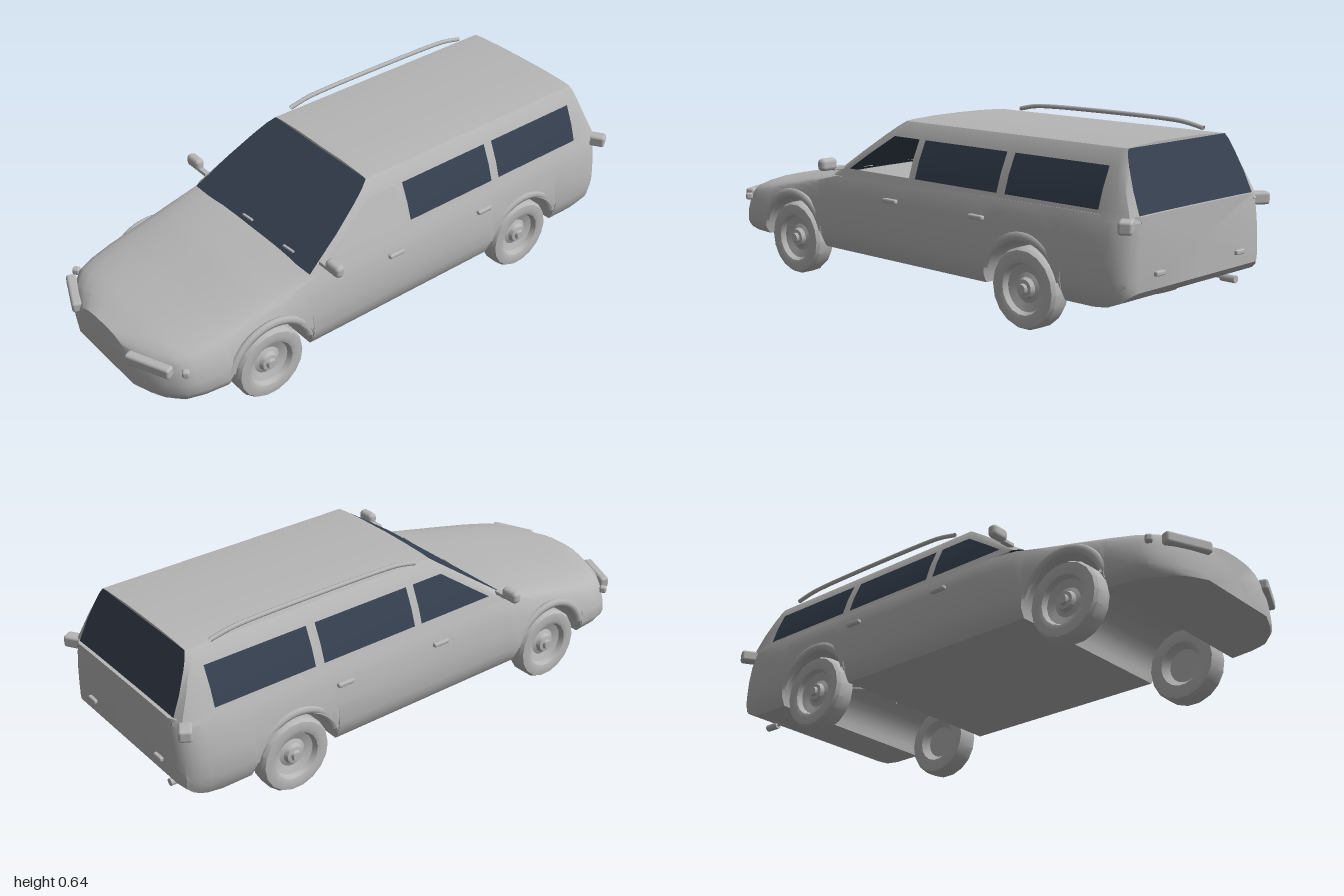
import * as THREE from 'three';
import { toCreasedNormals } from 'three/addons/utils/BufferGeometryUtils.js';
import { RoundedBoxGeometry } from 'three/addons/geometries/RoundedBoxGeometry.js';

const paint = new THREE.MeshStandardMaterial({ color: 0xb6b6b6, side: THREE.DoubleSide });
paint.name = 'grey paint';
const glass = new THREE.MeshStandardMaterial({ color: 0x364050, side: THREE.DoubleSide });
glass.name = 'dark glass';

// Linear lookup in a list of [position, value] pairs with rising positions
function look(table, t) {
  if (t <= table[0][0]) return table[0][1];
  for (let i = 1; i < table.length; i++) {
    const [a, va] = table[i - 1], [b, vb] = table[i];
    if (t <= b) return va + (vb - va) * (t - a) / (b - a);
  }
  return table[table.length - 1][1];
}

// Completes a half ring that starts and ends on x = 0
const mirrorRing = (half) =>
  half.concat(half.slice(1, -1).reverse().map(([x, y, z]) => [-x, y, z]));

// Skins closed rings; keep(row, column, isLeft) chooses the faces, columns count on the half ring
function skin(rings, keep = () => true, crease = 0.6) {
  const m = rings[0].length, index = [];
  for (let i = 0; i < rings.length - 1; i++) {
    for (let j = 0; j < m; j++) {
      const left = j < m / 2;
      if (!keep(i, left ? j : m - 1 - j, left)) continue;
      const a = i * m + j, b = i * m + (j + 1) % m;
      index.push(a, b, b + m, a, b + m, a + m);
    }
  }
  const g = new THREE.BufferGeometry();
  g.setAttribute('position', new THREE.Float32BufferAttribute(rings.flat(2), 3));
  g.setIndex(index);
  return toCreasedNormals(g, crease);
}

// Lower body tables along z
const WHEELS = [-0.57, 0.57], ARCH = 0.168, FLOOR = 0.125;
const widthAt = [[-0.985, 0.31], [-0.97, 0.342], [-0.93, 0.367], [-0.85, 0.378], [0.6, 0.378], [0.74, 0.375],
  [0.82, 0.365], [0.88, 0.345], [0.93, 0.29], [0.955, 0.24], [0.98, 0.17]];
const shoulderAt = [[-0.985, 0.41], [0.2, 0.4], [0.36, 0.385], [0.55, 0.338], [0.72, 0.3], [0.9, 0.262], [0.98, 0.23]];
const crownAt = [[-0.985, 0.412], [0.2, 0.402], [0.38, 0.395], [0.55, 0.372], [0.72, 0.338], [0.9, 0.308], [0.98, 0.288]];
const lipAt = [[-0.985, 0.18], [-0.95, 0.15], [-0.9, 0.13], [-0.85, FLOOR], [0.9, FLOOR], [0.98, 0.14]];
const bulgeAt = [[0, 0.93], [0.1, 0.975], [0.25, 1], [0.5, 0.995], [0.75, 0.965], [0.9, 0.935], [1, 0.905]];

function bodyRing(z) {
  const w = look(widthAt, z), top = look(shoulderAt, z), crown = look(crownAt, z);
  let low = look(lipAt, z);
  for (const c of WHEELS) {
    const d = Math.abs(z - c) / ARCH;
    if (d < 1) low = FLOOR + 0.165 * Math.sqrt(1 - d * d);
  }
  const half = [[0, low, z]];
  for (const t of [0, 0.06, 0.14, 0.25, 0.5, 0.75, 0.9, 1]) {
    const y = low + (top - low) * t;
    half.push([w * look(bulgeAt, (y - FLOOR) / (top - FLOOR)), y, z]);
  }
  const edge = half[half.length - 1][0];
  for (const k of [0.97, 0.9, 0.75, 0.5, 0.25, 0]) {
    half.push([edge * k, top + (crown - top) * Math.pow(1 - k ** 3, 0.6), z]);
  }
  return mirrorRing(half);
}

function lowerBody() {
  const zs = [-0.985, -0.97, -0.95, -0.93, -0.9, -0.85, -0.2, 0, 0.2, 0.3, 0.36, 0.78, 0.82, 0.85, 0.88, 0.905, 0.93, 0.955, 0.98];
  for (const c of WHEELS) {
    for (let i = 0; i <= 16; i++) zs.push(c + ARCH * Math.cos(Math.PI * i / 16));
  }
  const rings = zs.sort((a, b) => a - b).map(bodyRing);
  // Flat caps for nose and tailgate
  const cap = (ring, y) => ring.map((p) => [0, y, p[2]]);
  return skin([cap(rings[0], 0.3), ...rings, cap(rings[rings.length - 1], 0.21)]);
}

// Cabin: one ring per height, then shrinking rings for the roof
const cabinSide = [[0.39, 0.347], [0.42, 0.336], [0.48, 0.316], [0.548, 0.285], [0.58, 0.267], [0.6, 0.25]];
function cabinRing(y, k = 1, lift = 0) {
  const s = look(cabinSide, y) * k, t = (y - 0.39) / 0.21;
  const zf = 0.375 - 0.3 * t, zr = -0.982 + 0.09 * t, inset = 0.05 * (1 - t);
  const half = [[0, zf + 0.008], [s - 0.018 * (1 - t) * k, zf + 0.006], [s, zf - 0.02], [s, zf - 0.045],
    [s, -0.02], [s, -0.05], [s, -0.43], [s, -0.465], [s, -0.85],
    [s, zr + 0.02 + 0.035 * (1 - t)], [s - 0.3 * inset, zr + 0.012], [s - inset, zr], [0, zr]];
  return mirrorRing(half.map(([x, z]) => [x, y + lift, z]));
}
const cabinRings = [...cabinSide.map(([y]) => cabinRing(y)),
  cabinRing(0.6, 0.85, 0.004), cabinRing(0.6, 0.45, 0.008), cabinRing(0.6, 0, 0.009)];
const sideOpening = (i, j) => (i === 1 || i === 2) && [3, 5, 7].includes(j);
const openDoor = (i, j, left) => left && j === 3;
const isGlass = (i, j) => sideOpening(i, j) || (i < 5 && (j === 0 || j === 11));

// Wheel profile from inner to outer side: radius, axial position
const wheelProfile = [[0, -0.015], [0.06, -0.015], [0.08, -0.04], [0.1, -0.043], [0.125, -0.038], [0.133, -0.022],
  [0.133, 0.026], [0.125, 0.039], [0.1, 0.043], [0.085, 0.038], [0.077, 0.02], [0.05, 0.01], [0.036, 0.016],
  [0.03, 0.03], [0.018, 0.032], [0.015, 0.042], [0, 0.042]].map(([r, a]) => new THREE.Vector2(r, a));

const tube = (points, r, n = 20) => new THREE.TubeGeometry(
  new THREE.CatmullRomCurve3(points.map((p) => new THREE.Vector3(...p)), false, 'centripetal'), n, r, 8);

export function createModel() {
  const car = new THREE.Group();
  car.name = 'estateCar';
  const add = (name, geometry, material = paint, [x, y, z] = [0, 0, 0], ry = 0) => {
    const mesh = new THREE.Mesh(geometry, material);
    mesh.name = name;
    mesh.position.set(x, y, z);
    mesh.rotation.y = ry;
    car.add(mesh);
    return mesh;
  };
  // Rounded block on both sides
  const pair = (name, [w, h, d], [x, y, z], ry = 0, r = 0.008) => {
    for (const s of [1, -1]) {
      add((s > 0 ? 'left' : 'right') + name, new RoundedBoxGeometry(w, h, d, 2, r), paint, [s * x, y, z], s * ry);
    }
  };

  add('lowerBody', lowerBody());
  add('cabinFrame', skin(cabinRings, (i, j) => !isGlass(i, j)));
  add('windows', skin(cabinRings, (i, j, left) => isGlass(i, j) && !openDoor(i, j, left)), glass);

  // Wheels and arch lips
  const wheel = toCreasedNormals(new THREE.LatheGeometry(wheelProfile, 18).rotateZ(-Math.PI / 2), 0.6);
  const lip = new THREE.TorusGeometry(0.172, 0.016, 8, 20, Math.PI * 0.8)
    .rotateZ(Math.PI * 0.1).rotateY(Math.PI / 2).scale(0.7, 1, 0.98);
  for (const z of WHEELS) {
    for (const s of [1, -1]) {
      add('wheel', wheel, paint, [s * 0.327, 0.133, z], s > 0 ? 0 : Math.PI);
      add('archLip', lip, paint, [s * 0.366, 0.13, z]);
    }
  }

  // Lamps
  pair('Headlight', [0.17, 0.04, 0.035], [0.232, 0.25, 0.952], 0.4, 0.01);
  pair('Indicator', [0.025, 0.026, 0.026], [0.337, 0.248, 0.882], 0.9);
  pair('TailLight', [0.075, 0.042, 0.045], [0.343, 0.385, -0.963], 0.55, 0.01);

  // Mirrors, door handles and tailgate grips
  pair('Mirror', [0.07, 0.044, 0.036], [0.4, 0.437, 0.333], 0, 0.015);
  pair('MirrorArm', [0.05, 0.014, 0.02], [0.352, 0.42, 0.333], 0, 0.003);
  for (const z of [0.04, -0.37]) pair('DoorHandle', [0.018, 0.016, 0.065], [0.369, 0.338, z], 0, 0.006);
  pair('TailgateGrip', [0.045, 0.016, 0.02], [0.21, 0.228, -0.987], 0, 0.005);

  // Single roof rail
  add('roofRail', tube([[-0.256, 0.608, 0.01], [-0.256, 0.622, -0.06], [-0.256, 0.627, -0.15],
    [-0.256, 0.627, -0.65], [-0.256, 0.622, -0.73], [-0.256, 0.608, -0.805]], 0.008, 30));

  // Exhaust
  add('exhaustTip', new THREE.CylinderGeometry(0.013, 0.013, 0.055, 12).rotateX(Math.PI / 2), paint, [-0.228, 0.13, -0.94]);
  add('exhaustPipe', tube([[-0.228, 0.13, -0.92], [-0.228, 0.135, -0.76], [-0.2, 0.2, -0.62], [-0.12, 0.2, -0.52], [-0.1, 0.13, -0.41]], 0.005));

  // Wiper blades
  for (const x of [-0.04, 0.19]) {
    const wiper = add('wiper', new THREE.BoxGeometry(0.055, 0.006, 0.008), paint, [x, 0.407, 0.363]);
    wiper.rotation.z = 0.08;
  }
  return car;
}
